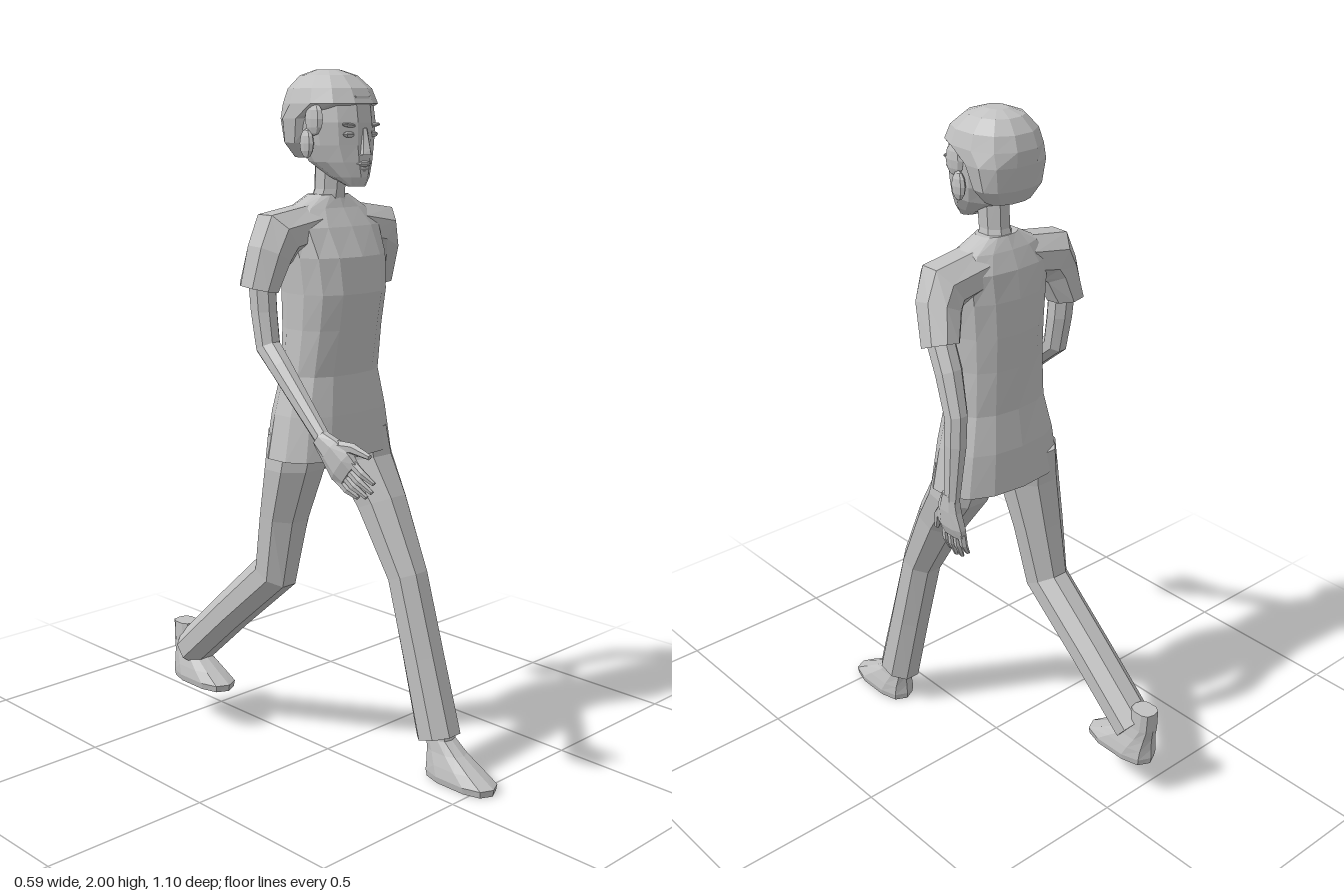
import * as THREE from 'three';

const grey = new THREE.MeshStandardMaterial({ color: 0xc2c2c2 });
grey.name = 'plain grey';
grey.flatShading = true;

// Closed skin through rings given as [x, y, z, rx, rz, pitch, roll]; p < 1 squares the ring off.
function loft(name, rings, n = 8, p = 1) {
  const pos = [], idx = [];
  const bend = v => Math.sign(v) * Math.pow(Math.abs(v), p);
  for (const [x, y, z, rx, rz, pitch = 0, roll = 0] of rings) {
    const turn = new THREE.Euler(pitch, 0, roll);
    for (let i = 0; i < n; i++) {
      const a = (i + 0.5) / n * Math.PI * 2;
      const v = new THREE.Vector3(rx * bend(Math.cos(a)), 0, rz * bend(Math.sin(a))).applyEuler(turn);
      pos.push(v.x + x, v.y + y, v.z + z);
    }
  }
  const last = rings.length - 1, c0 = rings.length * n, c1 = c0 + 1;
  pos.push(...rings[0].slice(0, 3), ...rings[last].slice(0, 3));
  for (let i = 0; i < n; i++) {
    const j = (i + 1) % n;
    for (let r = 0; r < last; r++) {
      const a = r * n + i, b = r * n + j;
      idx.push(a, a + n, b, b, a + n, b + n);
    }
    idx.push(c0, i, j, c1, last * n + j, last * n + i);
  }
  // Turn every face outward, whichever way the rings run
  let volume = 0;
  const at = i => new THREE.Vector3().fromArray(pos, i * 3);
  for (let k = 0; k < idx.length; k += 3) volume += at(idx[k]).dot(at(idx[k + 1]).cross(at(idx[k + 2])));
  if (volume < 0) idx.reverse();
  const g = new THREE.BufferGeometry();
  g.setAttribute('position', new THREE.Float32BufferAttribute(pos, 3));
  g.setIndex(idx);
  g.computeVertexNormals();
  const m = new THREE.Mesh(g, grey);
  m.name = name;
  return m;
}

function blob(name, x, y, z, sx, sy, sz, w = 8, h = 6) {
  const m = new THREE.Mesh(new THREE.SphereGeometry(1, w, h), grey);
  m.name = name;
  m.position.set(x, y, z);
  m.scale.set(sx, sy, sz);
  return m;
}

// Hand hanging from its wrist, thumb forward; s is the side it belongs to
function hand(name, s) {
  const g = new THREE.Group();
  g.name = name;
  g.add(loft('palm', [[0, 0.02, 0, 0.02, 0.026], [0, -0.03, 0.005, 0.021, 0.042],
    [-s * 0.003, -0.08, 0, 0.02, 0.052], [-s * 0.008, -0.11, -0.004, 0.014, 0.047]], 8, 0.8));
  for (let i = 0; i < 4; i++) {
    const z = 0.03 - i * 0.023, len = [0.075, 0.085, 0.08, 0.06][i];
    g.add(loft('finger', [[-s * 0.006, -0.095, z, 0.012, 0.013],
      [-s * 0.01, -0.1 - len * 0.5, z * 1.05, 0.011, 0.012],
      [-s * 0.024, -0.1 - len, z * 1.05, 0.006, 0.007]], 6));
  }
  g.add(loft('thumb', [[0, -0.035, 0.025, 0.016, 0.02, -0.6], [-s * 0.008, -0.075, 0.062, 0.014, 0.015, -0.5],
    [-s * 0.016, -0.125, 0.082, 0.007, 0.008, -0.3]], 6));
  return g;
}

function shoe(name, x, y, z) {
  const m = loft(name, [[0, 0, 0, 0.052, 0.118], [0, 0.02, 0, 0.056, 0.121], [0, 0.05, -0.025, 0.05, 0.093],
    [0, 0.085, -0.055, 0.04, 0.063], [0, 0.12, -0.08, 0.035, 0.042], [0, 0.18, -0.085, 0.033, 0.038]], 10, 0.75);
  m.position.set(x, y, z);
  return m;
}

export function createModel() {
  const model = new THREE.Group();
  model.name = 'walkingPerson';

  // Shirt, neck and hips
  model.add(loft('shirt', [[0, 0.935, 0.005, 0.208, 0.125], [0, 1.06, 0.005, 0.184, 0.117],
    [0, 1.17, 0.008, 0.155, 0.102], [0, 1.3, 0.018, 0.149, 0.114], [0, 1.4, 0.025, 0.152, 0.125],
    [0, 1.5, 0.02, 0.16, 0.118], [0, 1.58, 0.004, 0.168, 0.092], [0, 1.63, -0.002, 0.13, 0.064],
    [0, 1.665, 0, 0.062, 0.046]], 14, 0.85));
  model.add(loft('neck', [[0, 1.62, -0.005, 0.055, 0.055], [0, 1.68, 0.008, 0.042, 0.048],
    [0, 1.78, 0.015, 0.044, 0.052]]));
  model.add(loft('hips', [[0, 0.89, 0, 0.06, 0.05], [0, 0.93, 0, 0.15, 0.09], [0, 1.02, 0, 0.17, 0.1]], 10));

  // Sleeves: shoulder cap running down to the open cuff
  for (const s of [1, -1]) {
    const back = s > 0 ? 1 : 0.25;
    model.add(loft(s > 0 ? 'leftSleeve' : 'rightSleeve', [
      [s * 0.08, 1.578, 0, 0.068, 0.075, 0, s * 1.5], [s * 0.19, 1.558, -0.002, 0.08, 0.074, 0, s * 0.95],
      [s * 0.217, 1.51, -0.018 * back, 0.064, 0.07, 0.2 * back, s * 0.45],
      [s * 0.246, 1.42, -0.058 * back, 0.05, 0.063, 0.4 * back, s * 0.15]]));
  }

  // Left arm swings back, right arm reaches forward
  model.add(loft('leftArm', [[0.24, 1.46, -0.04, 0.038, 0.045, 0.4], [0.25, 1.36, -0.095, 0.037, 0.042, 0.4],
    [0.262, 1.25, -0.137, 0.031, 0.037, 0.25], [0.268, 1.17, -0.14, 0.03, 0.035],
    [0.279, 1.0, -0.135, 0.02, 0.026]]));
  model.add(loft('rightArm', [[-0.24, 1.46, -0.01, 0.038, 0.042], [-0.241, 1.36, 0, 0.037, 0.04],
    [-0.245, 1.265, 0.02, 0.034, 0.038, -0.45], [-0.252, 1.215, 0.08, 0.033, 0.033, -0.85],
    [-0.272, 1.045, 0.268, 0.02, 0.024, -0.85]]));
  const leftHand = hand('leftHand', 1);
  leftHand.position.set(0.279, 1.0, -0.13);
  const rightHand = hand('rightHand', -1);
  rightHand.position.set(-0.275, 1.04, 0.272);
  rightHand.rotation.x = -0.9;
  model.add(leftHand, rightHand);

  // Trousers and shoes: left leg ahead, right leg pushing off behind
  model.add(loft('leftTrouserLeg', [[0.1, 1.0, 0.01, 0.095, 0.1], [0.109, 0.9, 0.035, 0.095, 0.088, -0.2],
    [0.108, 0.78, 0.115, 0.078, 0.076, -0.4], [0.108, 0.58, 0.22, 0.062, 0.062, -0.35],
    [0.112, 0.35, 0.282, 0.061, 0.065, -0.26], [0.117, 0.12, 0.342, 0.062, 0.07, -0.27]]));
  model.add(loft('rightTrouserLeg', [[-0.1, 1.0, -0.01, 0.095, 0.1], [-0.109, 0.9, -0.02, 0.095, 0.088],
    [-0.114, 0.75, -0.06, 0.08, 0.07, 0.15], [-0.12, 0.57, -0.095, 0.064, 0.07, 0.5],
    [-0.123, 0.4, -0.29, 0.063, 0.062, 0.85], [-0.125, 0.23, -0.478, 0.063, 0.06, 0.9]]));
  model.add(shoe('leftShoe', 0.117, 0, 0.43), shoe('rightShoe', -0.125, 0.13, -0.43));

  // Head: face, hair shell and features
  const head = new THREE.Group();
  head.name = 'head';
  head.add(loft('face', [[0, 1.69, 0.112, 0.026, 0.024], [0, 1.715, 0.085, 0.05, 0.06],
    [0, 1.755, 0.05, 0.078, 0.096], [0, 1.8, 0.035, 0.094, 0.11], [0, 1.86, 0.03, 0.102, 0.118],
    [0, 1.93, 0.02, 0.098, 0.118]], 12));
  head.add(loft('hair', [[0, 1.765, -0.045, 0.07, 0.045], [0, 1.805, -0.045, 0.105, 0.066],
    [0, 1.87, -0.034, 0.117, 0.088], [0, 1.91, 0.01, 0.117, 0.135], [0, 1.95, 0.008, 0.105, 0.118],
    [0, 1.985, 0.003, 0.072, 0.08], [0, 2.0, 0, 0.03, 0.035]], 12, 0.9));
  head.add(loft('nose', [[0, 1.775, 0.14, 0.019, 0.027], [0, 1.79, 0.14, 0.015, 0.024],
    [0, 1.845, 0.14, 0.008, 0.01]], 6));
  head.add(blob('upperLip', 0, 1.751, 0.138, 0.027, 0.008, 0.015));
  head.add(blob('lowerLip', 0, 1.737, 0.133, 0.021, 0.008, 0.014));
  for (const s of [1, -1]) {
    head.add(blob('eye', s * 0.043, 1.829, 0.127, 0.022, 0.009, 0.012));
    const brow = blob('eyebrow', s * 0.045, 1.853, 0.13, 0.028, 0.006, 0.012);
    brow.rotation.z = s * 0.12;
    head.add(brow);
    head.add(blob('ear', s * 0.106, 1.805, 0.028, 0.013, 0.04, 0.026));
    head.add(blob('sideHair', s * 0.1, 1.87, 0.05, 0.014, 0.045, 0.035));
  }
  model.add(head);
  return model;
}
